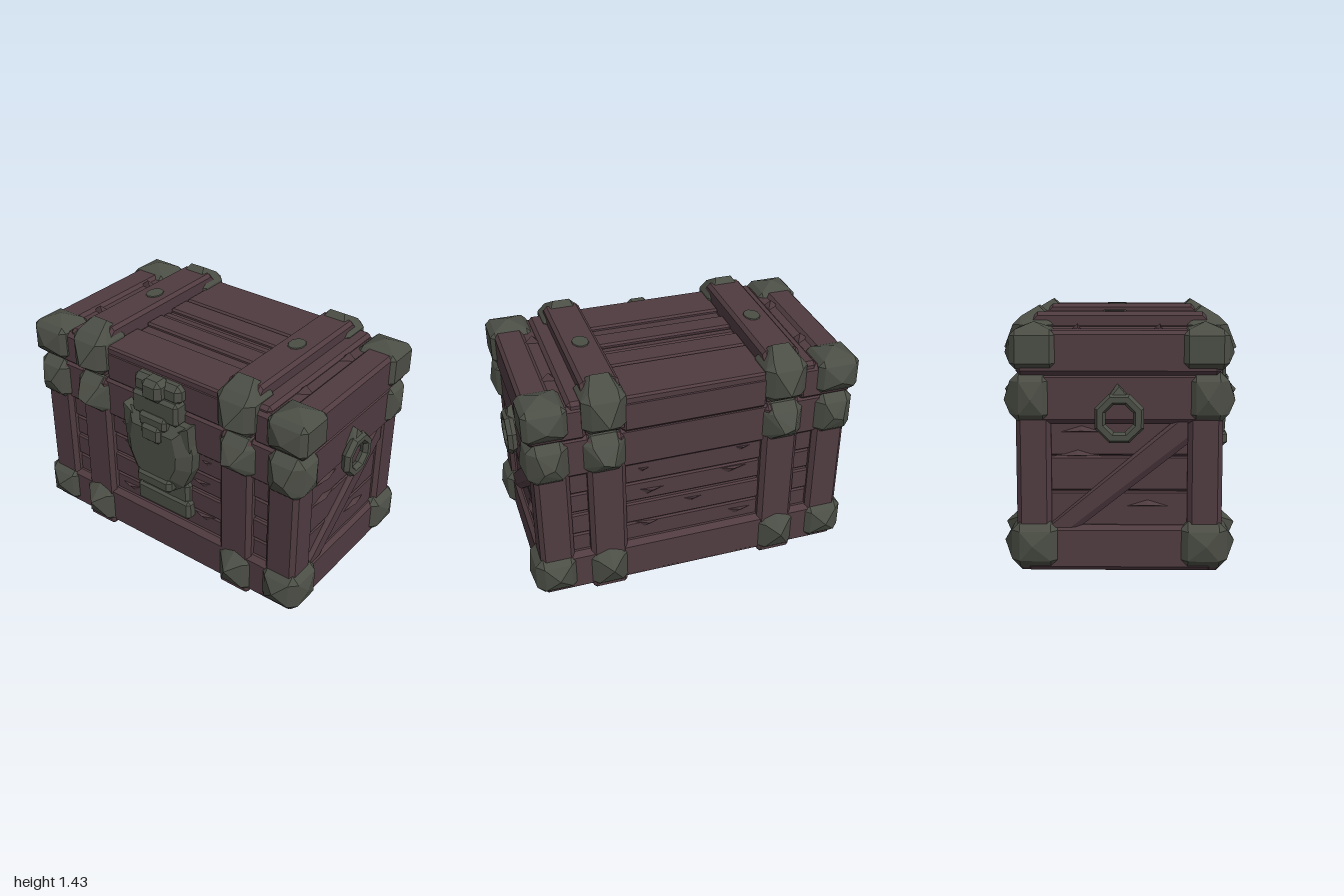
import * as THREE from 'three';
import { ConvexGeometry } from 'three/addons/geometries/ConvexGeometry.js';

const mat = (name, color) => Object.assign(new THREE.MeshStandardMaterial({ color }), { name });

export function createModel() {
  const wood = mat('dark plum wood', 0x4f3b40);
  const metal = mat('grey green iron', 0x4b4e45);
  const root = new THREE.Group();
  root.name = 'chest';

  const add = (parent, name, geo, m) => {
    const mesh = new THREE.Mesh(geo, m);
    mesh.name = name;
    parent.add(mesh);
    return mesh;
  };
  // corner points of a box with chamfered edges
  const boxPoints = ([x0, x1], [y0, y1], [z0, z1], c) => {
    const pts = [];
    for (const [x, a] of [[x0, 1], [x1, -1]])
      for (const [y, b] of [[y0, 1], [y1, -1]])
        for (const [z, d] of [[z0, 1], [z1, -1]]) {
          pts.push([x, y + b * c, z + d * c], [x + a * c, y, z + d * c], [x + a * c, y + b * c, z]);
        }
    return pts;
  };
  const hull = (pts) => new ConvexGeometry(pts.map((p) => new THREE.Vector3(...p)));
  const beam = (parent, name, xs, ys, zs, c = 0.015, m = wood) =>
    add(parent, name, hull(boxPoints(xs, ys, zs, c)), m);
  // same part in mirrored positions; hull is rebuilt so faces stay outward
  const mirrored = (name, pts, m, sxs = [1, -1], szs = [1, -1]) => {
    for (const sx of sxs) for (const sz of szs)
      add(root, name, hull(pts.map(([x, y, z]) => [x * sx, y, z * sz])), m);
  };
  const range = (r, s) => (s > 0 ? r : [-r[1], -r[0]]);

  // base core, open joint above it under the straps
  beam(root, 'baseCore', [-0.88, 0.88], [0.04, 1.08], [-0.48, 0.48]);
  beam(root, 'baseFloor', [-0.92, 0.92], [0.03, 0.12], [-0.54, 0.54], 0.02);

  // front and back: planks, rails, straps, corner posts
  for (const s of [1, -1]) {
    const edges = [0.28, 0.42, 0.57, 0.71, 0.87];
    for (let i = 0; i < 4; i++)
      beam(root, 'wallPlank', [-0.86, 0.86], [edges[i], edges[i + 1] - 0.008],
        range([0.46, 0.5 + 0.008 * (i % 2)], s), 0.01);
    beam(root, 'lowerRail', [-0.88, 0.88], [0.035, 0.3], range([0.4, 0.545], s), 0.03);
    beam(root, 'upperRail', [-0.45, 0.45], [0.84, 1.1], range([0.4, 0.53], s), 0.02);
    for (const t of [1, -1]) {
      beam(root, 'upperSideRail', range([0.6, 0.92], t), [0.84, 1.1], range([0.4, 0.53], s), 0.02);
      beam(root, 'strapPost', range([0.41, 0.63], t), [0.04, 1.09], range([0.42, 0.55], s), 0.025);
      beam(root, 'cornerPost', range([0.73, 0.93], t), [0.05, 1.09], range([0.36, 0.545], s), 0.025);
    }
  }
  // runners beneath the floor
  for (const t of [1, -1])
    beam(root, 'floorRunner', range([0.42, 0.63], t), [0.012, 0.1], [-0.56, 0.56], 0.02);

  // splinters raised from the planks: [x, y, width]
  const chips = [[-0.3, 0.36, 0.2], [0.27, 0.4, 0.18], [-0.25, 0.68, 0.24],
    [0.25, 0.64, 0.2], [-0.3, 0.82, 0.18], [0.3, 0.8, 0.15], [0.0, 0.52, 0.22]];
  for (const s of [1, -1])
    for (const [x, y, w] of chips)
      add(root, 'splinter', hull([[x - w / 2, y, 0.49 * s], [x + w / 2, y + 0.01, 0.49 * s],
        [x + w / 5, y - 0.045, 0.49 * s], [x, y + 0.005, 0.525 * s]]), wood);

  // chest ends: frame, diagonal brace and ring handle, turned half way for the other end
  for (const turn of [0, Math.PI]) {
    const end = new THREE.Group();
    end.name = 'chestEnd';
    end.rotation.y = turn;
    root.add(end);
    beam(end, 'endLowerRail', [0.8, 0.93], [0.03, 0.28], [-0.5, 0.5], 0.025);
    beam(end, 'endUpperRail', [0.8, 0.935], [0.83, 1.1], [-0.5, 0.5], 0.025);
    for (const [y0, y1] of [[0.27, 0.46], [0.465, 0.65], [0.655, 0.84]])
      beam(end, 'endPlank', [0.84, 0.895], [y0, y1], [-0.38, 0.38], 0.008);
    const brace = [];
    for (const [x, w] of [[0.87, 0.075], [0.905, 0.075], [0.925, 0.05]])
      brace.push([x, 0.27, 0.36], [x, 0.27, 0.36 - w * 2], [x, 0.27 + w * 0.3, 0.36],
        [x, 0.84, -0.36], [x, 0.84, -0.36 + w], [x, 0.84 - w * 1.6, -0.36]);
    add(end, 'diagonalBrace', hull(brace), wood);
    for (const [y, z] of [[0.65, 0.22], [0.78, 0.2], [0.38, -0.15]])
      add(end, 'endSplinter', hull([[0.89, y, z - 0.13], [0.89, y, z + 0.13],
        [0.89, y + 0.04, z], [0.92, y + 0.01, z]]), wood);
    const ring = new THREE.TorusGeometry(0.108, 0.031, 6, 8).toNonIndexed();
    ring.rotateZ(Math.PI / 8).rotateY(Math.PI / 2).translate(0.967, 0.865, 0).computeVertexNormals();
    add(end, 'ringHandle', ring, metal);
    add(end, 'ringHook', hull([[0.92, 0.95, -0.08], [0.92, 0.95, 0.08], [0.985, 0.96, -0.06],
      [0.985, 0.96, 0.06], [0.93, 1.045, 0.01], [0.96, 1.03, 0.0]]), metal);
  }

  // lid: middle section, end sections and raised slats
  beam(root, 'lidMiddle', [-0.43, 0.43], [1.085, 1.295], [-0.55, 0.53], 0.025);
  for (const [z0, z1] of [[-0.545, -0.21], [-0.205, -0.055], [-0.035, 0.025], [0.035, 0.17], [0.25, 0.525]])
    beam(root, 'lidSlat', [-0.42, 0.42], [1.25, z1 - z0 < 0.07 ? 1.305 : 1.318], [z0, z1], 0.012);
  beam(root, 'lidUnderStraps', [-0.7, 0.7], [1.13, 1.29], [-0.52, 0.52], 0.02);
  for (const t of [1, -1]) {
    beam(root, 'lidEnd', range([0.62, 0.95], t), [1.085, 1.3], [-0.54, 0.53], 0.025);
    beam(root, 'lidEdgeBoard', range([0.78, 0.95], t), [1.2, 1.32], [-0.5, 0.5], 0.02);
    beam(root, 'lidInnerBoard', range([0.6, 0.72], t), [1.2, 1.325], [-0.53, 0.51], 0.02);
    // strap over the lid with bevelled ends and a stud
    const strap = [];
    for (const [x, d] of [[0.415, 0.02], [0.435, 0], [0.61, 0], [0.63, 0.02]])
      for (const z of [1, -1])
        strap.push([x * t, 1.13, z * 0.55], [x * t, 1.3 - d, z * 0.55], [x * t, 1.4 - d, z * 0.45]);
    add(root, 'lidStrap', hull(strap), wood);
    const stud = add(root, 'strapStud', new THREE.CylinderGeometry(0.047, 0.05, 0.008, 10).toNonIndexed(), metal);
    stud.geometry.computeVertexNormals();
    stud.scale.z = 1.3;
    stud.position.set(0.52 * t, 1.402, -0.03);
    // splinters on the lid ends
    for (const z of [-0.24, 0.2])
      add(root, 'lidSplinter', hull([[0.7 * t, 1.29, z * t], [0.8 * t, 1.3, (z + 0.02) * t],
        [0.72 * t, 1.3, (z + 0.07) * t], [0.75 * t, 1.345, (z + 0.025) * t]]), wood);
  }

  // iron caps: chamfered blocks with hammered peaks on the outer faces
  const cap = (name, xs, ys, zs, c, peaks) => mirrored(name, [...boxPoints(xs, ys, zs, c), ...peaks], metal);
  cap('lidCornerCap', [0.725, 0.975], [1.12, 1.325], [0.33, 0.57], 0.03,
    [[0.85, 1.362, 0.45], [0.85, 1.2, 0.605]]);
  cap('lidStrapCap', [0.4, 0.65], [1.12, 1.375], [0.34, 0.59], 0.045,
    [[0.47, 1.432, 0.45], [0.57, 1.432, 0.45], [0.52, 1.2, 0.648]]);
  cap('baseCornerCap', [0.725, 0.96], [0.83, 1.105], [0.35, 0.575], 0.05,
    [[0.99, 0.96, 0.46], [0.82, 0.97, 0.61], [0.88, 0.95, 0.61]]);
  cap('baseStrapCap', [0.405, 0.65], [0.84, 1.095], [0.4, 0.575], 0.05,
    [[0.5, 0.95, 0.645], [0.56, 0.97, 0.645]]);
  cap('footCornerCap', [0.715, 0.965], [0.05, 0.3], [0.32, 0.575], 0.045,
    [[0.99, 0.18, 0.46], [0.84, 0.18, 0.62], [0.83, 0.335, 0.45]]);
  cap('footStrapCap', [0.405, 0.65], [0.02, 0.29], [0.36, 0.58], 0.05,
    [[0.525, 0.2, 0.65], [0.525, 0.002, 0.43], [0.53, 0.315, 0.53]]);

  // lock: hasp, shield, keyhole boss and lower tongue
  const lock = new THREE.Group();
  lock.name = 'lock';
  root.add(lock);
  const plate = (name, outline, cy, layers) => add(lock, name, hull(layers.flatMap(([z, s]) =>
    outline.flatMap(([x, y]) => [1, -1].map((m) => [x * m * s, cy + (y - cy) * s, z])))), metal);
  plate('lockShield', [[0.215, 1.03], [0.25, 0.86], [0.24, 0.74], [0.18, 0.61], [0.1, 0.545]], 0.8,
    [[0.5, 1], [0.575, 1], [0.63, 0.68]]);
  for (const t of [1, -1])
    add(lock, 'shieldHorn', hull([[0.24 * t, 0.88, 0.52], [0.24 * t, 0.88, 0.59], [0.235 * t, 1.045, 0.6],
      [0.235 * t, 1.045, 0.52], [0.14 * t, 1.0, 0.52], [0.14 * t, 0.98, 0.6]]), metal);
  beam(lock, 'lockTongue', [-0.2, 0.2], [0.35, 0.48], [0.48, 0.56], 0.02, metal);
  beam(lock, 'lockTongueNeck', [-0.185, 0.185], [0.45, 0.6], [0.48, 0.545], 0.02, metal);
  beam(lock, 'shieldLip', [-0.13, 0.13], [0.56, 0.66], [0.52, 0.645], 0.025, metal);
  beam(lock, 'hasp', [-0.165, 0.165], [1.02, 1.17], [0.48, 0.61], 0.02, metal);
  beam(lock, 'haspHinge', [-0.17, 0.17], [1.15, 1.27], [0.48, 0.59], 0.03, metal);
  beam(lock, 'haspKnob', [-0.07, 0.07], [1.15, 1.285], [0.52, 0.645], 0.03, metal);
  beam(lock, 'keyholeBoss', [-0.07, 0.07], [0.89, 1.0], [0.55, 0.655], 0.02, metal);
  beam(lock, 'haspStem', [-0.1, 0.1], [0.97, 1.06], [0.52, 0.635], 0.02, metal);

  return root;
}
